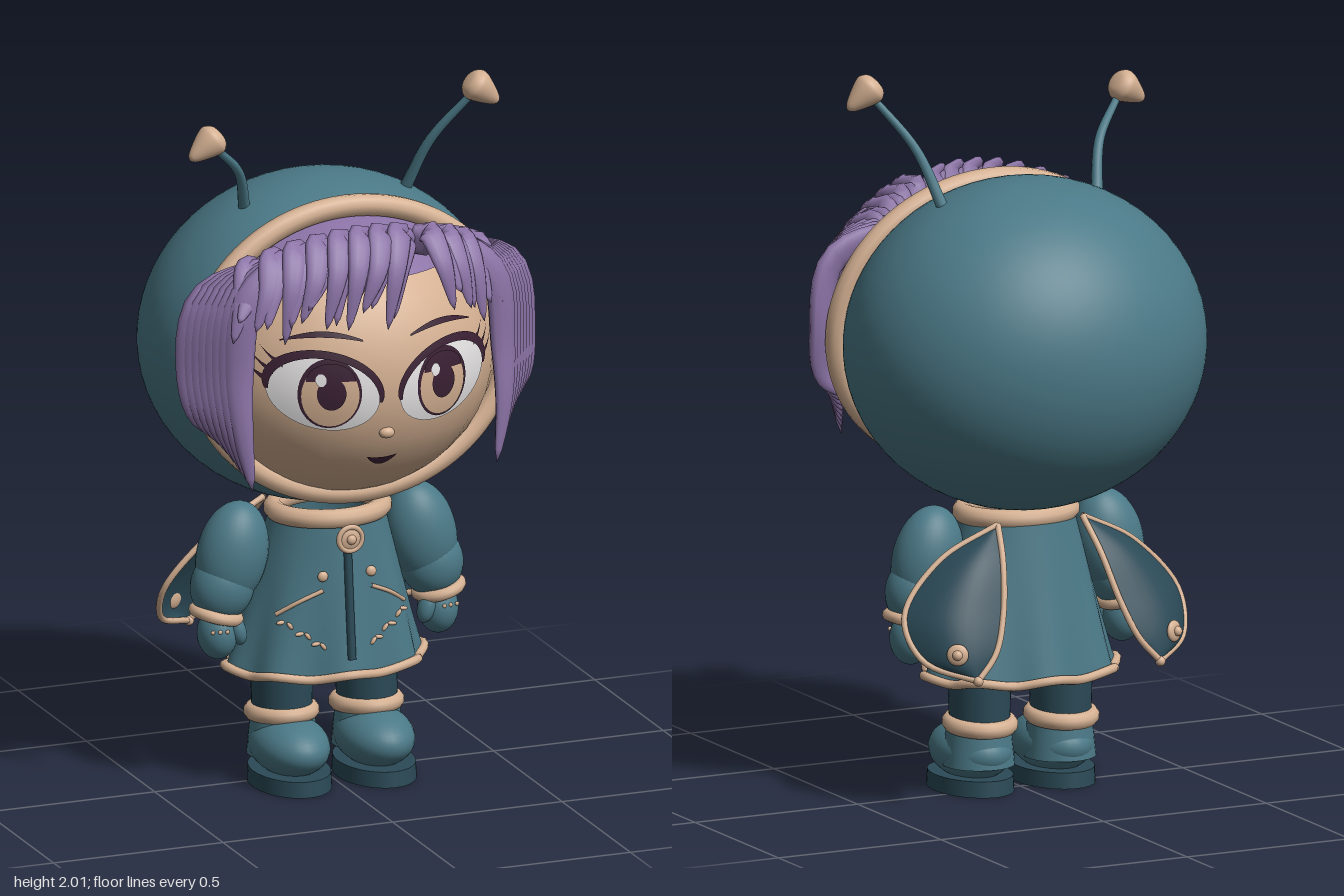
import * as THREE from 'three';
import { mergeVertices } from 'three/addons/utils/BufferGeometryUtils.js';

const V = (x, y, z) => new THREE.Vector3(x, y, z);
const { sin, cos, PI, sqrt, max, asin } = Math;

const makeMat = (name, color) => {
  const m = new THREE.MeshStandardMaterial({ color, side: THREE.DoubleSide });
  m.name = name;
  return m;
};
const teal = makeMat('teal', 0x4b7987), darkTeal = makeMat('dark teal', 0x2b4a57);
const peach = makeMat('peach', 0xd4b092), purple = makeMat('purple', 0x8b73a6);
const white = makeMat('white', 0xe6e4e4), plum = makeMat('dark plum', 0x3a2033);

function add(parent, name, mat, geo) {
  const m = new THREE.Mesh(geo, mat);
  m.name = name;
  parent.add(m);
  return m;
}

// Smooth surface from a rule fn(u, v) -> Vector3
function grid(nu, nv, fn) {
  const pos = [], idx = [];
  for (let j = 0; j <= nv; j++) for (let i = 0; i <= nu; i++) pos.push(...fn(i / nu, j / nv).toArray());
  for (let j = 0; j < nv; j++) for (let i = 0; i < nu; i++) {
    const a = j * (nu + 1) + i, c = a + nu + 1;
    idx.push(a, a + 1, c, a + 1, c + 1, c);
  }
  let g = new THREE.BufferGeometry();
  g.setAttribute('position', new THREE.Float32BufferAttribute(pos, 3));
  g.setIndex(idx);
  g = mergeVertices(g, 1e-5);
  g.computeVertexNormals();
  return g;
}

function ball(parent, name, mat, p, r, rotZ = 0) {
  const m = add(parent, name, mat, new THREE.SphereGeometry(1, 32, 22).scale(...r));
  m.position.set(...p);
  m.rotation.z = rotZ;
  return m;
}

const tube = (pts, r, closed = false) =>
  new THREE.TubeGeometry(new THREE.CatmullRomCurve3(pts, closed), closed ? 96 : 32, r, 10, closed);

const ring = (rx, ry, fn) => Array.from({ length: 32 }, (_, i) => {
  const a = i / 32 * PI * 2;
  return fn(rx * cos(a), ry * sin(a));
});

// Tapered lock with an elliptical section; flat is the direction of its thin axis
function lock(pts, w, th, flat, profile) {
  const curve = new THREE.CatmullRomCurve3(pts);
  return grid(10, 18, (u, v) => {
    const T = curve.getTangent(v), S = flat.clone().cross(T).normalize(), N = T.clone().cross(S);
    const k = profile(v), a = u * PI * 2;
    return curve.getPoint(v).addScaledVector(S, cos(a) * w * k).addScaledVector(N, sin(a) * th * k);
  });
}
const leafTaper = v => sqrt(max(0, sin(PI * Math.pow(v, 0.75)))) * (1 - 0.35 * v);

// Face surface and thin plates that follow it
const FACE = { c: [0, 1.24, 0.05], r: [0.455, 0.41, 0.43] };
const faceZ = (x, y) =>
  0.05 + 0.43 * sqrt(max(0, 1 - (x / 0.455) ** 2 - ((y - 1.24) / 0.41) ** 2));
const plate = (parent, name, mat, off, nu, nv, f) => add(parent, name, mat, grid(nu, nv, (u, v) => {
  const [x, y] = f(u, v);
  return V(x, y, faceZ(x, y) + off);
}));
const disc = (parent, name, mat, off, x, y, rx, ry, from = 0, to = PI * 2) =>
  plate(parent, name, mat, off, 32, 5, (u, v) => {
    const a = from + (to - from) * u;
    return [x + rx * v * cos(a), y + ry * v * sin(a)];
  });

function buildHead(g) {
  // Hood open at the front, with a tilted padded rim
  const cut = 1.03, tilt = -0.094;
  const hood = add(g, 'hood', teal, new THREE.SphereGeometry(1, 64, 40, 0, PI * 2, cut, PI - cut)
    .rotateX(PI / 2).scale(0.51, 0.46, 0.455).rotateX(tilt));
  hood.position.set(0, 1.25, -0.03);
  const rim = add(g, 'hoodRim', peach, tube(ring(0.46, 0.4, (x, y) => V(x, y, 0.235)), 0.031, true).rotateX(tilt));
  rim.position.set(0, 1.25, -0.03);

  ball(g, 'face', peach, FACE.c, FACE.r);
  ball(g, 'nose', peach, [0, 1.105, 0.458], [0.022, 0.016, 0.016]);
  plate(g, 'mouth', plum, 0.006, 16, 3, (u, v) => {
    const x = (u - 0.5) * 0.09, k = 1 - (2 * u - 1) ** 2;
    return [x, 1.03 - 0.006 * k - 0.024 * k * v];
  });

  for (const s of [-1, 1]) {
    const eye = new THREE.Group();
    eye.name = s > 0 ? 'leftEye' : 'rightEye';
    g.add(eye);
    const rimPt = (a, k) => [s * (0.175 + 0.145 * k * cos(a)), 1.23 + 0.105 * k * sin(a) + 0.02 * k * cos(a)];
    plate(eye, 'eyeWhite', white, 0.005, 40, 6, (u, v) => rimPt(u * PI * 2, v));
    const ix = s * 0.165;
    disc(eye, 'irisEdge', plum, 0.008, ix, 1.232, 0.083, 0.1);
    disc(eye, 'iris', peach, 0.011, ix, 1.228, 0.075, 0.09);
    disc(eye, 'irisShade', plum, 0.014, ix, 1.27, 0.064, 0.05, 0, PI);
    disc(eye, 'pupil', plum, 0.015, ix, 1.235, 0.038, 0.047);
    disc(eye, 'glint', white, 0.018, ix - 0.028, 1.275, 0.014, 0.018);
    plate(eye, 'upperLash', plum, 0.013, 32, 3, (u, v) =>
      rimPt(-0.05 + u * 3.25, 0.97 + v * (0.06 + 0.15 * sin(PI * u) ** 0.7)));
    for (let i = 0; i < 3; i++) plate(eye, 'lashFlick', plum, 0.014, 4, 2, (u, v) => {
      const [x, y] = rimPt(0.2 + i * 0.27, 1.0);
      return [x + s * 0.045 * u, y + 0.035 * u * u + 0.012 * u + (v - 0.5) * 0.02 * (1 - u)];
    });
    plate(eye, 'brow', plum, 0.008, 20, 2, (u, v) =>
      [s * (0.07 + 0.21 * u), 1.36 + 0.035 * sin(PI * (0.15 + 0.7 * u)) + (v - 0.5) * 0.016 * sin(PI * (0.1 + 0.85 * u))]);
  }

  // Antennae with teardrop tips
  for (const [s, mid, end, tip, dir] of [
    [-1, [-0.28, 1.77, 0.07], [-0.37, 1.865, 0.14], [-0.405, 1.885, 0.145], [-1, -0.7, 0.1]],
    [1, [0.285, 1.8, 0.07], [0.385, 1.945, 0.14], [0.405, 1.952, 0.145], [1, -0.85, 0.1]]]) {
    const ant = new THREE.Group();
    ant.name = s > 0 ? 'leftAntenna' : 'rightAntenna';
    g.add(ant);
    add(ant, 'antennaStalk', teal, lock([V(s * 0.235, 1.64, 0), V(...mid), V(...end)],
      0.017, 0.017, V(0, 0, 1), v => 1 - 0.4 * v));
    const prof = [[0, -0.05], [0.028, -0.046], [0.044, -0.028], [0.043, -0.008], [0.03, 0.025], [0.014, 0.055], [0, 0.064]];
    const drop = new THREE.SplineCurve(prof.map(p => new THREE.Vector2(...p))).getPoints(24);
    drop.forEach(p => { p.x = max(0, p.x); });
    const m = add(ant, 'antennaTip', peach, new THREE.LatheGeometry(drop, 24));
    m.position.set(...tip);
    m.quaternion.setFromUnitVectors(V(0, 1, 0), V(...dir).normalize());
  }
}

function buildHair(g) {
  const cap = add(g, 'hairCap', purple, new THREE.SphereGeometry(1, 48, 14, 0, PI * 2, 0, 0.85).scale(0.46, 0.417, 0.437));
  cap.position.set(...FACE.c);

  // Fringe: two rows of arching locks, parted on the left side
  for (let row = 0; row < 2; row++) for (let i = 0; i < 12; i++) {
    const x = -0.32 + i * 0.058 + row * 0.02, d = x > 0.14 ? 0.6 : -1, b = x * x;
    const wob = sin(i * 2.4 + row);
    const pts = [V(x * 0.9, 1.57 - 0.5 * b, 0.34 - b),
      V(x + d * 0.02, 1.655 - 0.9 * b - row * 0.02, 0.39 - b),
      V(x + d * 0.055, 1.575 - 0.8 * b, 0.462 - 1.2 * b - row * 0.015),
      V(x + d * (0.095 + 0.01 * wob), 1.43 + 0.03 * wob - 0.5 * b + row * 0.03, 0.475 - 1.1 * b)];
    add(g, 'fringeLock', purple, lock(pts, 0.043, 0.018, V(x * 0.6, 0.45, 1).normalize(), leafTaper));
  }

  // Side clumps: layered locks bowing outwards and ending in points by the cheeks
  for (const s of [-1, 1]) for (let i = 0; i < 8; i++) {
    const t = i / 7, z = 0.36 - 0.1 * t;
    const pts = [V(s * (0.25 + 0.03 * t), 1.6 - 0.05 * t, z - 0.03),
      V(s * (0.365 + 0.09 * t), 1.48 - 0.01 * t, z - 0.02),
      V(s * (0.39 + 0.1 * t), 1.28, z - 0.02),
      V(s * (0.385 + 0.09 * t), 1.12 + 0.03 * t, z),
      V(s * (0.36 + 0.04 * t), 0.95 + 0.13 * t, z + 0.01)];
    add(g, 'sideLock', purple, lock(pts, 0.052, 0.026, V(s * 0.35, 0, 1).normalize(), leafTaper));
  }
}

// Flared coat surface with soft folds towards the hem
function coatAt(a, y, off = 0) {
  const t = (0.79 - y) / 0.46, fold = 0.012 * t * t * cos(8 * a) + off;
  const rx = 0.155 + 0.12 * t, rz = 0.14 + 0.055 * t;
  return V((rx + fold) * sin(a), y, 0.02 * (1 - t) + (rz + fold) * cos(a));
}
const onCoat = (x, y, off) => coatAt(asin(x / (0.155 + 0.12 * (0.79 - y) / 0.46)), y, off);

function buildBody(g) {
  add(g, 'coat', teal, grid(80, 20, (u, v) => coatAt(u * PI * 2, 0.33 + 0.46 * v)));
  add(g, 'coatLining', teal, grid(80, 2, (u, v) => {
    const p = coatAt(u * PI * 2, 0.345);
    return V(p.x * (1 - v) * 0.98, 0.345 + 0.03 * v, p.z * (1 - v) * 0.98);
  }));
  add(g, 'hemTrim', peach, tube(Array.from({ length: 64 }, (_, i) => {
    const a = i / 64 * PI * 2, p = coatAt(a, 0.33, 0.004);
    p.y += 0.007 * cos(8 * a);
    return p;
  }), 0.013, true));
  add(g, 'collar', peach, tube(ring(0.152, 0.128, (x, z) => V(x, 0.772, z + 0.025)), 0.028, true));
  add(g, 'zip', darkTeal, tube([0.7, 0.6, 0.5, 0.38].map(y => onCoat(0, y, 0.003)), 0.012));

  // Round brooch with a ring and bead
  ball(g, 'brooch', peach, [0, 0.722, 0.185], [0.038, 0.038, 0.016]);
  const bead = add(g, 'broochRing', peach, new THREE.TorusGeometry(0.034, 0.008, 8, 28));
  bead.position.set(0, 0.722, 0.192);
  ball(g, 'broochBead', peach, [0, 0.722, 0.2], [0.014, 0.014, 0.01]);

  for (const s of [-1, 1]) {
    // Buttons, pocket piping and a beaded twig
    ball(g, 'button', peach, onCoat(s * 0.07, 0.615, 0.005).toArray(), [0.015, 0.015, 0.01]);
    add(g, 'pocketPiping', peach, tube([[0.07, 0.575], [0.13, 0.545], [0.185, 0.505]]
      .map(([x, y]) => onCoat(s * x, y, 0.003)), 0.006));
    for (let i = 0; i < 6; i++) {
      const x = 0.175 - i * 0.02, y = 0.485 - i * 0.015 + 0.008 * (i % 2);
      ball(g, 'twigBead', peach, onCoat(s * x, y, 0.003).toArray(), [0.013, 0.006, 0.006], s * (i % 2 ? 0.9 : -0.1));
    }

    // Puffed arm, cuff and mitten
    ball(g, 'upperSleeve', teal, [s * 0.278, 0.66, 0.015], [0.1, 0.152, 0.088], s * 0.22);
    ball(g, 'lowerSleeve', teal, [s * 0.308, 0.575, 0.018], [0.09, 0.1, 0.08], s * 0.2);
    const cuff = add(g, 'cuff', peach, tube(ring(0.06, 0.062, (x, z) => V(x, 0, z)), 0.017, true));
    cuff.position.set(s * 0.328, 0.497, 0.022);
    cuff.rotation.z = s * 0.25;
    ball(g, 'mitten', teal, [s * 0.325, 0.443, 0.025], [0.056, 0.073, 0.062]);
    ball(g, 'thumb', teal, [s * 0.28, 0.455, 0.055], [0.025, 0.045, 0.028], -s * 0.3);
    for (let i = -1; i < 2; i++) ball(g, 'mittenDot', peach, [s * 0.34 + i * 0.02, 0.462, 0.083 - 0.004 * i * s], [0.006, 0.006, 0.004]);

    // Leg, boot and sole
    const x = s * 0.125;
    const leg = add(g, 'leg', darkTeal, new THREE.CylinderGeometry(0.088, 0.082, 0.22, 28).scale(1, 1, 1.1));
    leg.position.set(x, 0.29, 0);
    const ankle = add(g, 'bootShaft', teal, new THREE.CylinderGeometry(0.088, 0.1, 0.12, 28));
    ankle.position.set(x, 0.135, 0.005);
    ball(g, 'boot', teal, [x, 0.108, 0.053], [0.106, 0.082, 0.152]);
    const top = add(g, 'bootCuff', peach, tube(ring(0.08, 0.086, (a, b) => V(a, 0, b)), 0.024, true));
    top.position.set(x, 0.192, -0.003);
    top.rotation.x = -0.08;
    const sole = add(g, 'sole', darkTeal, new THREE.CylinderGeometry(0.98, 1, 0.045, 40).scale(0.109, 1, 0.157));
    sole.position.set(x, 0.0225, 0.055);
  }
}

// Cupped leaf wings on the back with trim and a round stud
function buildWings(g) {
  for (const s of [-1, 1]) {
    const wing = new THREE.Group();
    wing.name = s > 0 ? 'leftWing' : 'rightWing';
    g.add(wing);
    const outer = [V(s * 0.13, 0.77, -0.12), V(s * 0.3, 0.68, -0.1), V(s * 0.42, 0.54, -0.125), V(s * 0.4, 0.43, -0.2), V(s * 0.28, 0.38, -0.295)];
    const inner = [outer[0], V(s * 0.15, 0.68, -0.19), V(s * 0.18, 0.55, -0.25), V(s * 0.22, 0.45, -0.285), outer[4]];
    const co = new THREE.CatmullRomCurve3(outer), ci = new THREE.CatmullRomCurve3(inner);
    const at = (u, v) => ci.getPoint(v).lerp(co.getPoint(v), u)
      .addScaledVector(V(s * 0.5, 0.1, -0.85), 0.05 * sin(PI * u) * sin(PI * v));
    add(wing, 'wingLeaf', darkTeal, grid(14, 24, at));
    add(wing, 'wingTrim', peach, tube(outer, 0.009));
    add(wing, 'wingTrim', peach, tube(inner, 0.009));
    const stud = at(0.5, 0.72), turn = V(s * 0.5, 0.1, -0.85).normalize();
    for (const [r, d] of [[0.03, 0.012], [0.014, 0.024]]) {
      const m = ball(wing, 'wingStud', peach, stud.toArray(), [r, r, 0.012]);
      m.position.addScaledVector(turn, d - 0.006);
      m.quaternion.setFromUnitVectors(V(0, 0, 1), turn);
    }
    ball(wing, 'wingBead', peach, outer[4].toArray(), [0.014, 0.014, 0.014]);
  }
}

export function createModel() {
  const model = new THREE.Group();
  for (const [name, build] of [['head', buildHead], ['hair', buildHair], ['body', buildBody], ['wings', buildWings]]) {
    const part = new THREE.Group();
    part.name = name;
    build(part);
    model.add(part);
  }
  return model;
}
